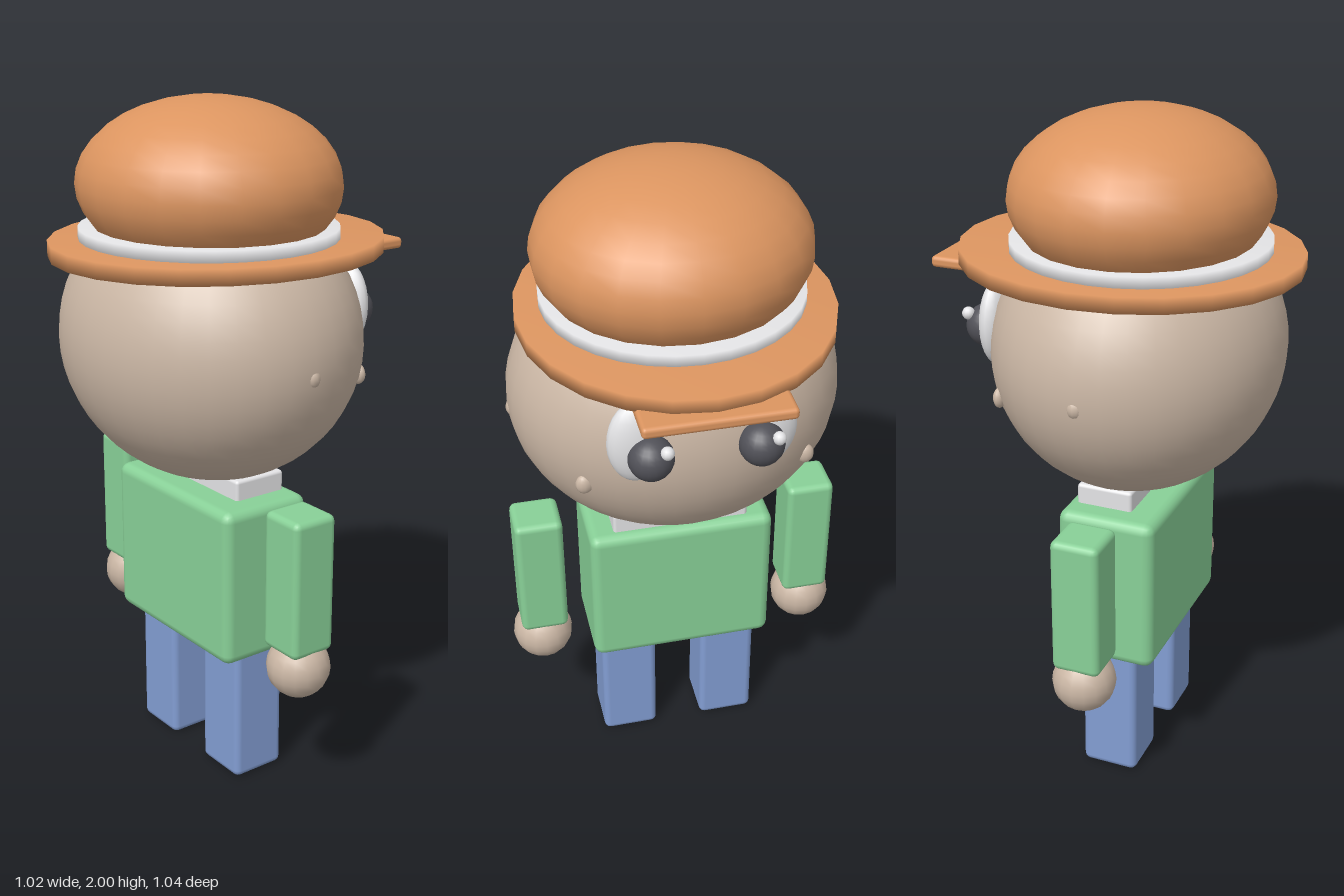
import * as THREE from 'three';
import { RoundedBoxGeometry } from 'three/addons/geometries/RoundedBoxGeometry.js';

function paint(name, color) {
  const m = new THREE.MeshStandardMaterial({ color });
  m.name = name;
  return m;
}

export function createModel() {
  const orange = paint('orange felt', 0xdc9560);
  const skin = paint('skin', 0xcbb7a5);
  const green = paint('green shirt', 0x88d097);
  const blue = paint('blue trousers', 0x829dd2);
  const white = paint('white', 0xe4e4e6);
  const dark = paint('dark pupil', 0x515158);

  const model = new THREE.Group();
  model.name = 'figure';
  const cx = -0.05; // body axis; the figure looks along +x

  function add(name, geometry, material, x, y, z) {
    const mesh = new THREE.Mesh(geometry, material);
    mesh.name = name;
    mesh.position.set(x, y, z);
    model.add(mesh);
    return mesh;
  }
  const ball = (name, mat, x, y, z, rx, ry = rx, rz = rx, ws = 20, hs = 14) =>
    add(name, new THREE.SphereGeometry(1, ws, hs).scale(rx, ry, rz), mat, x, y, z);
  const box = (name, mat, x, y, z, w, h, d, r = 0.02) =>
    add(name, new RoundedBoxGeometry(w, h, d, 2, r), mat, x, y, z);
  // Softly shaded elliptical disc
  function disc(name, mat, x, y, rx, rz, h, sides) {
    const profile = [[0, -h / 2], [1, -h / 2], [1, h / 2], [0, h / 2]].map(p => new THREE.Vector2(...p));
    return add(name, new THREE.LatheGeometry(profile, sides).rotateY(Math.PI / 2).scale(rx, 1, rz), mat, x, y, 0);
  }

  // Head and neck
  ball('head', skin, cx, 1.325, 0, 0.417, 0.42, 0.477, 36, 28);
  box('collar', white, -0.02, 0.89, 0, 0.17, 0.1, 0.41, 0.01);

  // Hat
  ball('hatCrown', orange, cx, 1.76, 0, 0.37, 0.24, 0.388, 22, 18);
  disc('hatBand', white, cx, 1.62, 0.37, 0.37, 0.045, 32);
  disc('hatBrim', orange, -0.02, 1.588, 0.495, 0.442, 0.045, 24);
  box('hatVisor', orange, 0.395, 1.555, 0, 0.23, 0.033, 0.405, 0.012);

  // Torso
  box('torso', green, cx, 0.643, 0, 0.295, 0.475, 0.56, 0.03);

  // Mirrored parts
  for (const [side, s] of [['left', -1], ['right', 1]]) {
    ball(side + 'Eye', white, 0.315, 1.395, s * 0.175, 0.045, 0.127, 0.085);
    ball(side + 'Pupil', dark, 0.362, 1.37, s * 0.15, 0.063);
    ball(side + 'EyeGlint', white, 0.405, 1.41, s * 0.15 - 0.035, 0.019, 0.019, 0.019, 12, 8);
    ball(side + 'Cheek', skin, 0.248, 1.225, s * 0.312, 0.018, 0.03, 0.025, 12, 10);
    ball(side + 'Ear', skin, cx, 1.3, s * 0.457, 0.025, 0.03, 0.025, 12, 10);
    box(side + 'Arm', green, cx, 0.698, s * 0.422, 0.145, 0.415, 0.145);
    ball(side + 'Hand', skin, cx, 0.435, s * 0.425, 0.093, 0.093, 0.093, 16, 12);
    box(side + 'Leg', blue, cx, 0.21, s * 0.162, 0.172, 0.42, 0.175);
  }
  return model;
}
